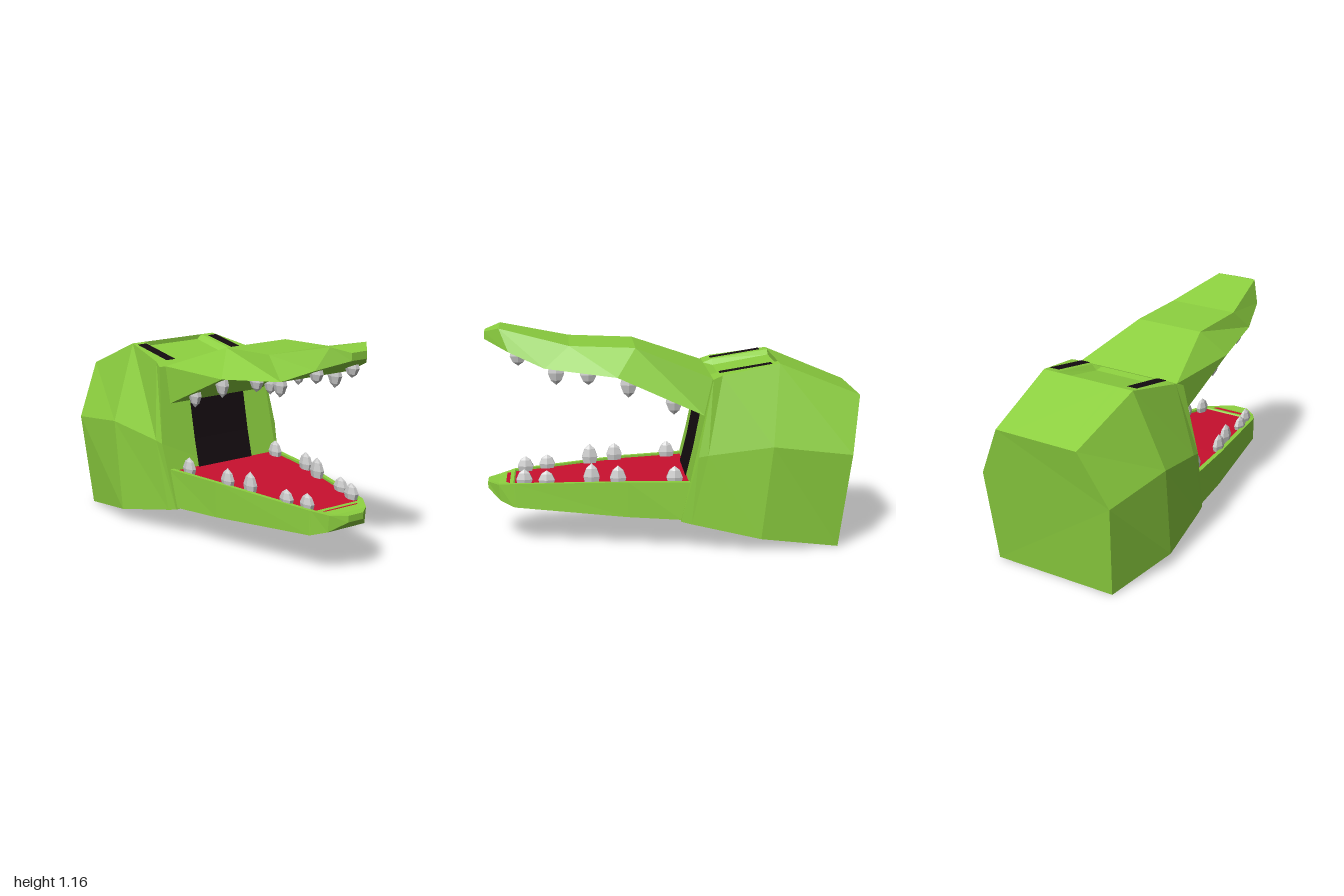
import * as THREE from 'three';

const paint = (color, side = THREE.FrontSide) =>
  new THREE.MeshStandardMaterial({ color, side, flatShading: true });

// Mirror half a cross-section (top to bottom, +z side) into a full ring.
const ring = half => [...half.map(([x, y, z]) => [x, y, -z]).reverse(), ...half];

// Skin a row of half cross-sections running towards +x and cap both ends.
function loft(halves) {
  const rings = halves.map(ring), n = rings[0].length, index = [];
  for (let s = 0; s < rings.length - 1; s++) {
    for (let i = 0; i < n; i++) {
      const j = (i + 1) % n, a = s * n, b = a + n;
      index.push(a + i, a + j, b + j, a + i, b + j, b + i);
    }
  }
  const cap = (s, flip) => {
    const pts = rings[s].map(([, y, z]) => new THREE.Vector2(-z, y));
    for (const [a, b, c] of THREE.ShapeUtils.triangulateShape(pts, [])) {
      const o = s * n;
      index.push(o + a, o + (flip ? c : b), o + (flip ? b : c));
    }
  };
  cap(0, true);
  cap(rings.length - 1, false);
  return surface(rings.flat(), index);
}

function surface(points, index) {
  const g = new THREE.BufferGeometry();
  g.setAttribute('position', new THREE.Float32BufferAttribute(points.flat(), 3));
  g.setIndex(index);
  g.computeVertexNormals();
  return g;
}

// Strip symmetric about z = 0, from [x, y, halfWidth] stations.
function strip(stations) {
  const points = stations.flatMap(([x, y, w]) => [[x, y, -w], [x, y, w]]), index = [];
  for (let i = 0; i < stations.length - 1; i++) {
    const a = i * 2;
    index.push(a, a + 1, a + 3, a, a + 3, a + 2);
  }
  return surface(points, index);
}

export function createModel() {
  const model = new THREE.Group();
  const green = paint(0x8ccf3f), black = paint(0x140c10, THREE.DoubleSide);
  const red = paint(0xc8102e, THREE.DoubleSide), grey = paint(0xcccccc);
  const add = (name, geometry, material, parent = model) => {
    const mesh = new THREE.Mesh(geometry, material);
    mesh.name = name;
    parent.add(mesh);
    return mesh;
  };

  // Head block, with a shallow dip between the brows
  const midSide = [[-0.51, 0.57, 0.445], [-0.45, 0.07, 0.44]];
  add('head', loft([
    [[-1, 0.805, 0.17], [-1, 0.805, 0.2], [-1, 0.805, 0.25], [-0.94, 0.51, 0.4], [-0.875, 0, 0.365]],
    [[-0.56, 0.985, 0.17], [-0.56, 0.985, 0.2], [-0.56, 0.985, 0.28], ...midSide],
    [[-0.56, 0.96, 0.17], [-0.56, 0.985, 0.2], [-0.56, 0.985, 0.28], ...midSide],
    [[-0.25, 0.905, 0.17], [-0.25, 0.935, 0.2], [-0.25, 0.935, 0.335],
      [-0.17, 0.52, 0.4], [-0.085, 0.143, 0.382]],
    [[-0.2, 0.912, 0.17], [-0.2, 0.915, 0.2], [-0.2, 0.915, 0.35],
      [-0.12, 0.51, 0.395], [-0.03, 0.155, 0.37]],
  ]), green);

  // Dark slits for the eyes
  for (const side of [1, -1]) {
    const eye = add(side > 0 ? 'leftEye' : 'rightEye', strip([[-0.52, 0.983, 0.03], [-0.24, 0.938, 0.03]]), black);
    eye.position.z = side * 0.245;
  }

  // Dark throat at the back of the mouth
  add('throat', strip([[-0.18, 0.88, 0.185], [-0.107, 0.51, 0.185], [-0.055, 0.3, 0.185]]), black);

  // Upper jaw
  add('upperJaw', loft([
    [[-0.2, 0.915, 0.31], [-0.16, 0.715, 0.31]],
    [[0.2, 1.065, 0.2], [0.3, 0.925, 0.31]],
    [[0.55, 1.08, 0.2], [0.68, 0.965, 0.23]],
    [[0.92, 1.165, 0.12], [0.87, 1.045, 0.17]],
    [[1, 1.14, 0.05], [1, 1.1, 0.05]],
  ]), green);

  // Lower jaw with a raised rim around the mouth floor
  const jaw = [ // top x, top y, top half width, bottom x, y, half width
    [-0.1, 0.37, 0.37, -0.03, 0.163, 0.36],
    [0.25, 0.363, 0.315, 0.25, 0.17, 0.31],
    [0.85, 0.33, 0.18, 0.85, 0.2, 0.18],
  ];
  const rim = 0.025, dip = 0.015;
  add('lowerJaw', loft([
    ...jaw.map(([x, y, w, bx, by, bw]) =>
      [[x, y - dip, w - rim], [x, y, w - rim], [x, y, w], [bx, by, bw]]),
    [[0.86, 0.325, 0.14], [0.86, 0.328, 0.15], [0.86, 0.33, 0.177], [0.86, 0.202, 0.175]],
    [[0.94, 0.312, 0.06], [0.94, 0.312, 0.08], [0.94, 0.315, 0.125], [0.93, 0.225, 0.125]],
    [[1, 0.315, 0.02], [1, 0.315, 0.03], [1, 0.315, 0.05], [1, 0.28, 0.05]],
  ]), green);
  add('mouthFloor', strip([...jaw.map(([x, y, w]) => [x, y - dip + 0.003, w - rim]),
    [0.9, 0.324, 0.1]]), red);

  // Faceted teeth: x, base y, z, height
  const toothShape = new THREE.LatheGeometry(
    [[0, -0.02], [0.8, -0.02], [1, 0.35], [0.65, 0.75], [0, 1]].map(p => new THREE.Vector2(...p)), 6);
  const teeth = (name, rows, up) => {
    const group = new THREE.Group();
    group.name = name;
    model.add(group);
    for (const [x, y, z, h] of rows) {
      for (const side of [1, -1]) {
        const tooth = add('tooth', toothShape, grey, group);
        tooth.position.set(x, y, side * z);
        tooth.scale.set(0.05, h, 0.025);
        if (!up) tooth.rotation.x = Math.PI;
      }
    }
  };
  teeth('upperTeeth', [[0, 0.815, 0.26, 0.1], [0.24, 0.915, 0.26, 0.105], [0.45, 0.955, 0.2, 0.085],
    [0.62, 0.97, 0.185, 0.1], [0.82, 1.045, 0.12, 0.08]], false);
  teeth('lowerTeeth', [[0, 0.35, 0.3, 0.095], [0.3, 0.345, 0.27, 0.1], [0.44, 0.34, 0.23, 0.11],
    [0.68, 0.325, 0.185, 0.08], [0.8, 0.32, 0.15, 0.085]], true);

  return model;
}
